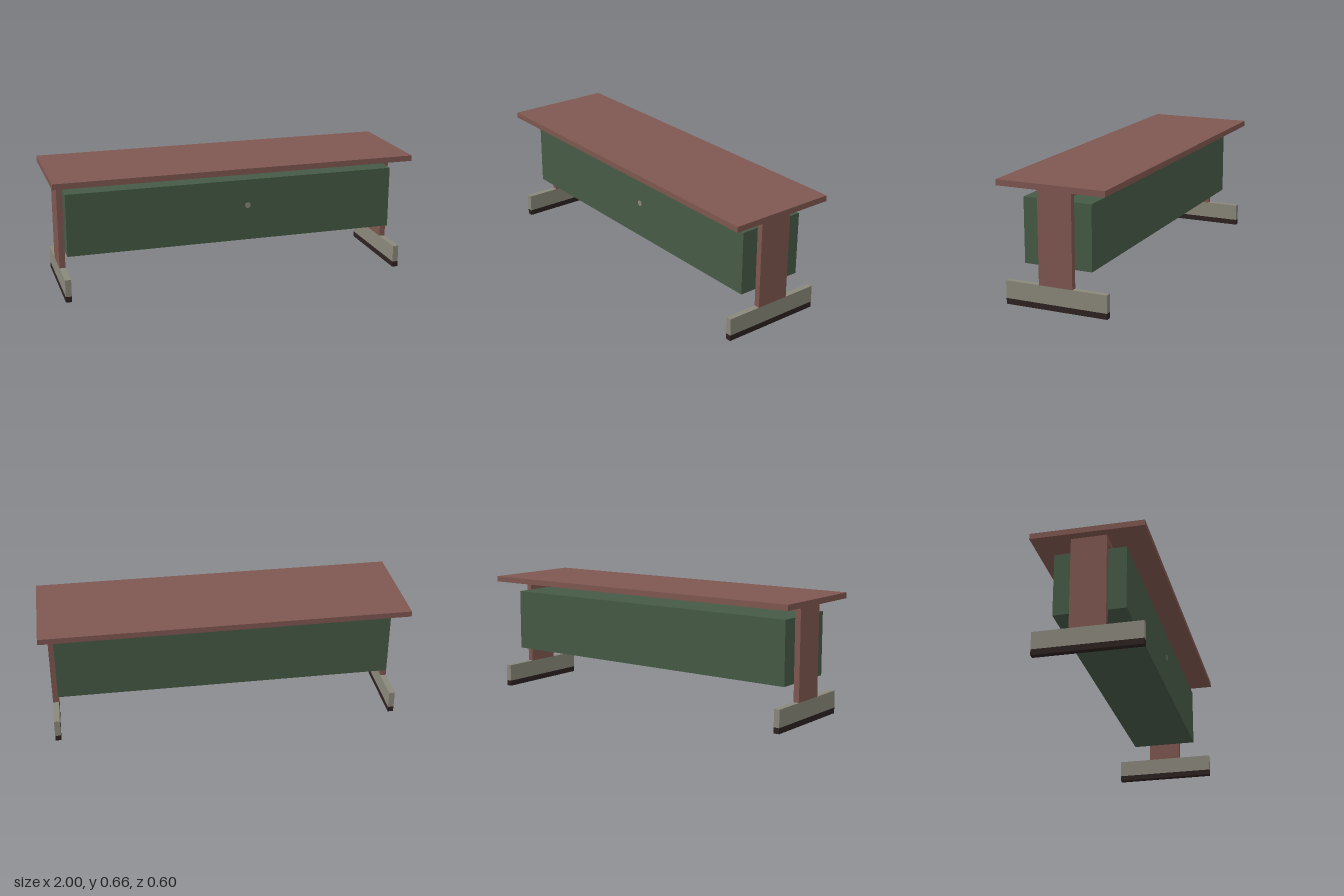
import * as THREE from 'three';

const material = (name, color) => {
  const m = new THREE.MeshStandardMaterial({ color });
  m.name = name;
  return m;
};

export function createModel() {
  const wood = material('brown wood', 0x7f5750);
  const green = material('green panel', 0x465a46);
  const grey = material('warm grey', 0x8b887b);
  const dark = material('dark rubber', 0x2d2221);

  const model = new THREE.Group();
  model.name = 'table';

  // Box centred on z, spanning y0..y1
  const box = (name, mat, width, y0, y1, depth, x = 0) => {
    const mesh = new THREE.Mesh(new THREE.BoxGeometry(width, y1 - y0, depth), mat);
    mesh.name = name;
    mesh.position.set(x, (y0 + y1) / 2, 0);
    model.add(mesh);
  };

  // Top, supporting beam and hanging cabinet
  box('tabletop', wood, 2, 0.626, 0.657, 0.595);
  box('crossbeam', wood, 1.844, 0.595, 0.626, 0.187);
  box('cabinet', green, 1.844, 0.22, 0.563, 0.375);

  // End supports: post, foot and floor pad
  for (const [side, s] of [['left', 1], ['right', -1]]) {
    const x = s * 0.938;
    box(side + 'Post', wood, 0.032, 0.125, 0.626, 0.187, x);
    box(side + 'Foot', grey, 0.032, 0.031, 0.125, 0.564, x);
    box(side + 'FootPad', dark, 0.032, 0, 0.031, 0.564, x);
  }

  // Small round lock on the cabinet front
  const lock = new THREE.Mesh(new THREE.CylinderGeometry(0.016, 0.016, 0.002, 12), grey);
  lock.name = 'lock';
  lock.rotation.x = Math.PI / 2;
  lock.position.set(0.08, 0.417, 0.188);
  model.add(lock);

  return model;
}
